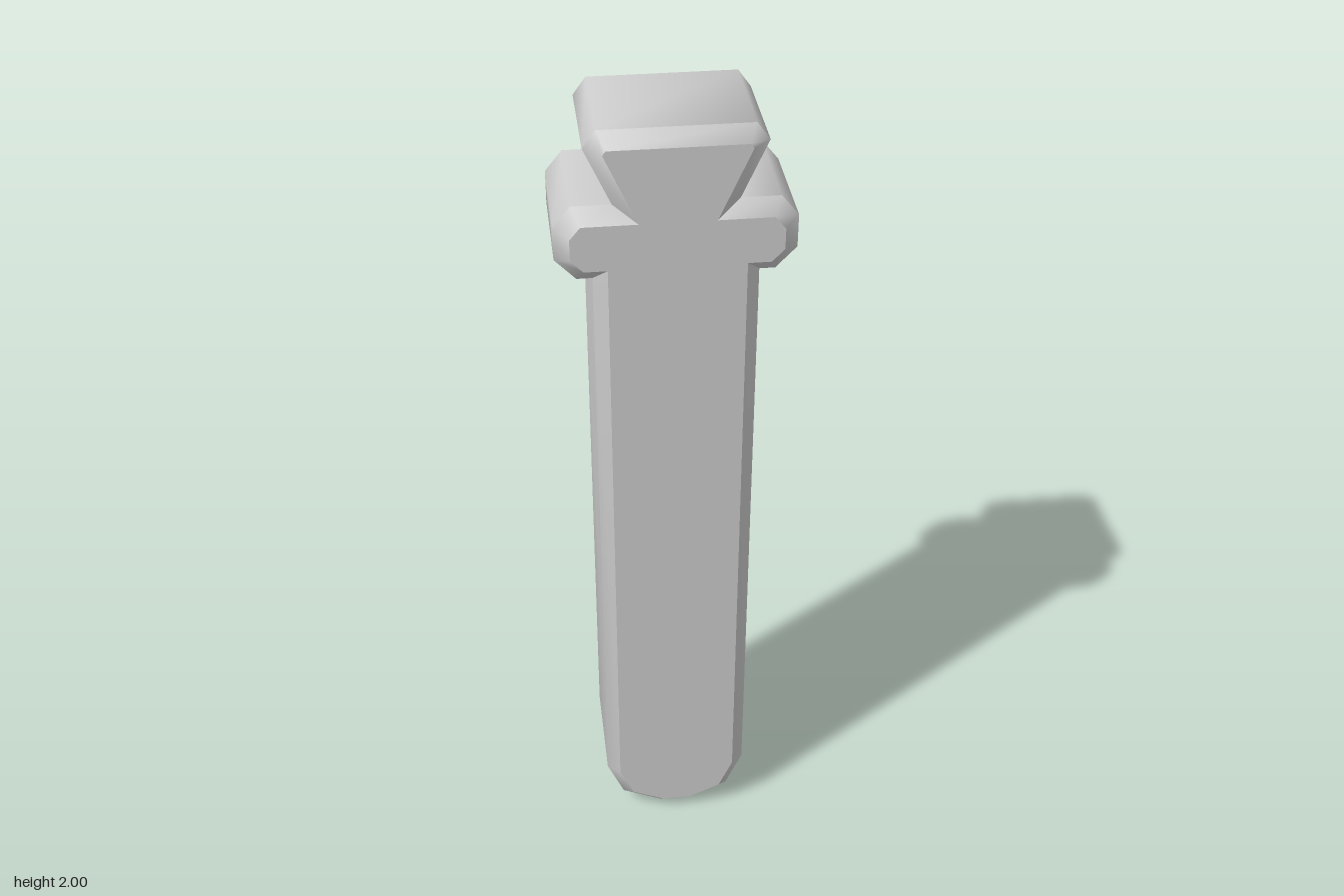
import * as THREE from 'three';
import { toCreasedNormals } from 'three/addons/utils/BufferGeometryUtils.js';

const BEVEL_Z = 0.134, FACE_Z = 0.168;

// Right half of the silhouette, top to bottom: pommel, guard, blade, tip
const OUTER = [
  [0.167, 2], [0.196, 1.96], [0.137, 1.83],
  [0.225, 1.83], [0.264, 1.782], [0.264, 1.705], [0.217, 1.656],
  [0.182, 1.656], [0.182, 0.145], [0.14, 0.046], [0.04, 0],
];
// The same corners, inset for the flat faces
const INNER = [
  [0.15, 1.968], [0.157, 1.958], [0.084, 1.797],
  [0.207, 1.797], [0.231, 1.768], [0.231, 1.719], [0.203, 1.69],
  [0.151, 1.69], [0.151, 0.155], [0.116, 0.073], [0.035, 0.036],
];

const mirrored = (half) => [...half, ...half.map(([x, y]) => [-x, y]).reverse()];

// Closed band between two matching loops at depths za (front) and zb (back)
function band(a, za, b, zb, crease) {
  const pos = [];
  a.forEach((p, i) => {
    const j = (i + 1) % a.length;
    const A = [...p, za], D = [...a[j], za], B = [...b[i], zb], C = [...b[j], zb];
    pos.push(...A, ...D, ...C, ...A, ...C, ...B);
  });
  const g = new THREE.BufferGeometry();
  g.setAttribute('position', new THREE.Float32BufferAttribute(pos, 3));
  return toCreasedNormals(g, THREE.MathUtils.degToRad(crease));
}

export function createModel() {
  const group = new THREE.Group();
  const material = new THREE.MeshStandardMaterial({ color: 0xcccccc });
  const add = (name, geometry) => {
    const mesh = new THREE.Mesh(geometry, material);
    mesh.name = name;
    group.add(mesh);
    return mesh;
  };
  const outer = mirrored(OUTER), inner = mirrored(INNER);

  // Smooth rim around the silhouette
  add('rim', band(outer, BEVEL_Z, outer, -BEVEL_Z, 75));

  // Bevels from the rim to each flat face
  add('frontBevel', band(inner, FACE_Z, outer, BEVEL_Z, 50));
  add('backBevel', band(outer, -BEVEL_Z, inner, -FACE_Z, 50));

  // Flat faces
  const shape = new THREE.Shape(inner.map(([x, y]) => new THREE.Vector2(x, y)));
  const face = new THREE.ShapeGeometry(shape);
  add('frontFace', face).position.z = FACE_Z;
  const back = add('backFace', face);
  back.rotation.y = Math.PI;
  back.position.z = -FACE_Z;

  return group;
}
